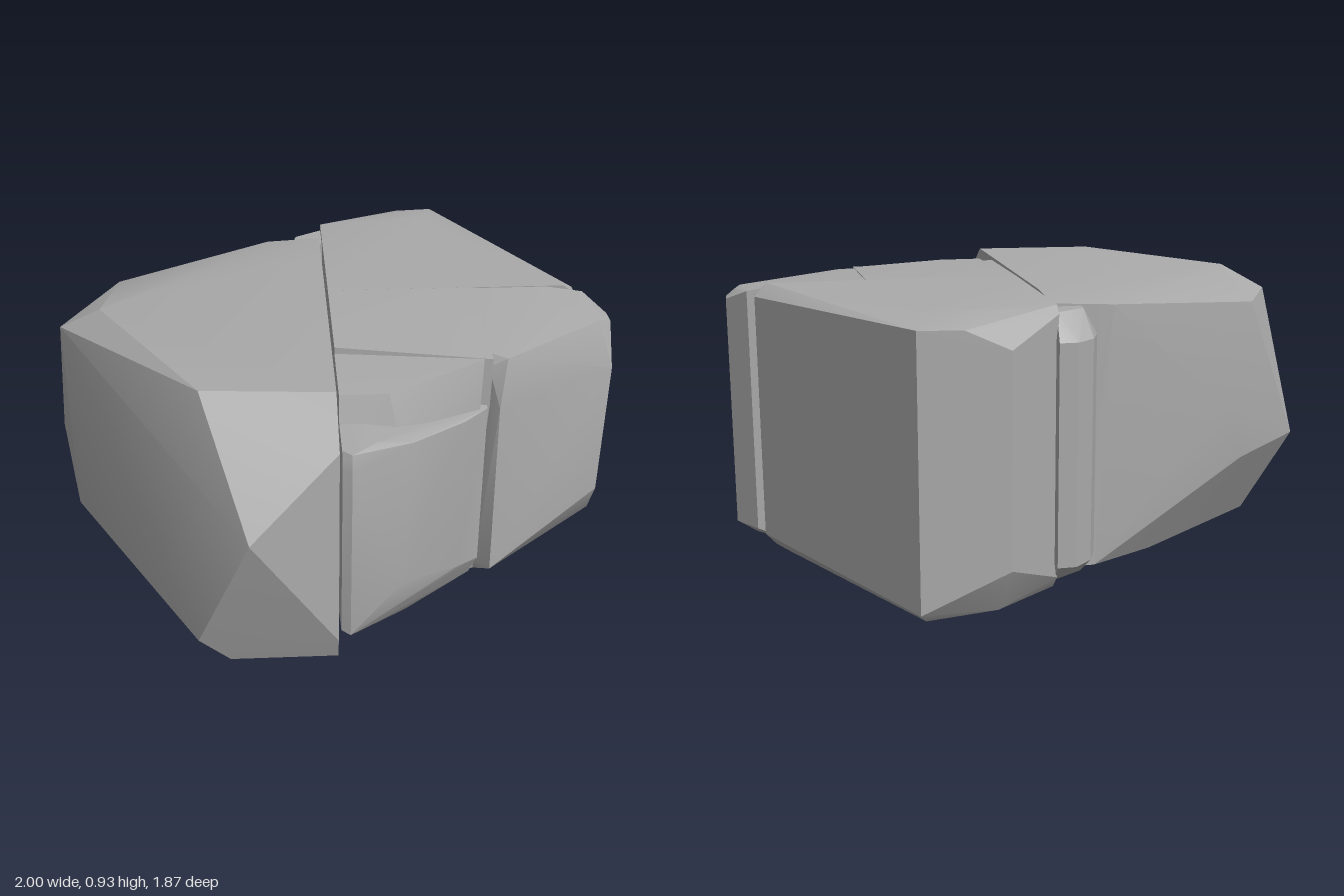
import * as THREE from 'three';
import { toCreasedNormals } from 'three/addons/utils/BufferGeometryUtils.js';
import { ConvexGeometry } from 'three/addons/geometries/ConvexGeometry.js';

const stone = new THREE.MeshStandardMaterial({ color: 0xaaaaaa });
stone.name = 'greyStone';

// A worn stone chunk: the convex hull of its corner points [x, y, z]
function chunk(name, corners) {
  const hull = new ConvexGeometry(corners.map(p => new THREE.Vector3(...p)));
  const mesh = new THREE.Mesh(toCreasedNormals(hull, 0.4), stone);
  mesh.name = name;
  return mesh;
}

// A ring of [x, z] points repeated at several heights
const prism = (outline, ...heights) =>
  heights.flatMap(y => outline.map(([x, z]) => [x, y, z]));

export function createModel() {
  const group = new THREE.Group();
  group.name = 'rock';

  group.add(
    // Large boulder with a pointed nose, split flat along x = 0
    chunk('mainBoulder', [
      [0, 0.925, 0.58], [-0.43, 0.925, 0.55], [-0.79, 0.925, -0.03], [0, 0.925, -0.45],
      [0, 0.91, -0.64], [-0.2, 0.9, -0.64], [-0.76, 0.85, -0.41], [-0.94, 0.84, -0.07],
      [-1, 0.33, -0.25], [-0.65, 0.5, -0.49], [-0.74, 0.3, -0.42],
      [-0.28, 0.6, 0.93], [0, 0.82, 0.77], [0, 0.09, 0.78], [-0.46, 0.12, 0.79],
      [-0.94, 0.1, -0.05], [-0.88, 0, -0.1], [-0.36, 0, 0.75], [0, 0, 0.75],
      [-0.4, 0, -0.45], [-0.15, 0.03, -0.64], [0, 0.03, -0.64],
    ]),

    // Tall block at the back
    chunk('backBlock', [
      ...prism([[0.01, -0.14], [0.86, -0.14], [0.82, -0.2]], 0.925),
      [0.01, 0.925, -0.74], [0.2, 0.925, -0.8], [0.42, 0.925, -0.78],
      [0.01, 0.9, -0.77], [0.19, 0.83, -0.94], [0.33, 0.895, -0.94], [0.47, 0.9, -0.94],
      [0.905, 0.89, -0.2], [0.905, 0.89, -0.14], [0.905, 0.06, -0.2], [0.905, 0.06, -0.14],
      [0.47, 0.03, -0.94], [0.19, 0.15, -0.94], [0.01, 0.05, -0.77],
      [0.01, 0, -0.14], [0.87, 0, -0.14], [0.84, 0, -0.2],
      [0.45, 0, -0.91], [0.22, 0, -0.87], [0.01, 0, -0.72],
    ]),

    // Core between the other chunks
    chunk('middleBlock', [
      ...prism([[0.01, -0.16], [0.53, -0.16]], 0, 0.925),
      [0.01, 0.92, 0.28], [0.53, 0.9, 0.35], [0.53, 0.915, 0.06],
      [0.01, 0, 0.35], [0.53, 0, 0.3],
    ]),

    // Block on the side, with a chamfered outer edge
    chunk('sideBlock', [
      ...prism([[0.52, -0.14], [0.8, -0.14]], 0, 0.922),
      [0.93, 0.9, -0.14], [0.93, 0.06, -0.14],
      [0.86, 0.905, 0.03], [0.52, 0.9, 0.3], [0.58, 0.895, 0.34], [0.95, 0.89, 0.07],
      [0.97, 0.885, 0.02], [1, 0.86, -0.04], [1, 0.86, 0.02], [1, 0.72, 0.11],
      [1, 0.2, 0.1], [1, 0.06, 0.02], [1, 0.06, -0.04],
      [0.52, 0.86, 0.33], [0.52, 0.06, 0.33], [0.56, 0.72, 0.37], [0.57, 0.04, 0.36],
      [0.93, 0, 0], [0.6, 0, 0.28], [0.52, 0, 0.3],
    ]),

    // Low block at the front
    chunk('frontBlock', [
      [0.01, 0.8, 0.3], [0.52, 0.72, 0.3], [0.01, 0.8, 0.72], [0.04, 0.8, 0.75],
      [0.12, 0.8, 0.68], [0.24, 0.77, 0.64], [0.43, 0.73, 0.46], [0.52, 0.72, 0.36],
      [0.01, 0.76, 0.75], [0.04, 0.74, 0.765], [0.01, 0.11, 0.75], [0.04, 0.1, 0.765],
      [0.22, 0.24, 0.67], [0.43, 0.14, 0.47], [0.52, 0.1, 0.37],
      [0.04, 0, 0.64], [0.25, 0, 0.52], [0.5, 0, 0.32], [0.01, 0, 0.3], [0.52, 0, 0.28],
    ]),

    // Thin ledge resting on the front block
    chunk('ledge', [
      ...prism([[0.01, 0.2], [0.5, 0.2]], 0.7, 0.9),
      [0.01, 0.89, 0.54], [0.17, 0.89, 0.54], [0.43, 0.89, 0.37], [0.5, 0.9, 0.35],
      [0.01, 0.7, 0.6], [0.21, 0.7, 0.59], [0.43, 0.7, 0.41], [0.49, 0.7, 0.38],
    ]),

    // Narrow rib wedged in the split at the back
    chunk('backRib', [
      ...prism([[-0.13, -0.6], [-0.13, -0.7], [-0.1, -0.77], [-0.04, -0.82], [0.02, -0.82], [0.02, -0.6]], 0.1, 0.82),
      ...prism([[-0.1, -0.6], [-0.09, -0.68], [0.01, -0.74], [0.01, -0.6]], 0.03, 0.9),
    ]),
  );
  return group;
}
